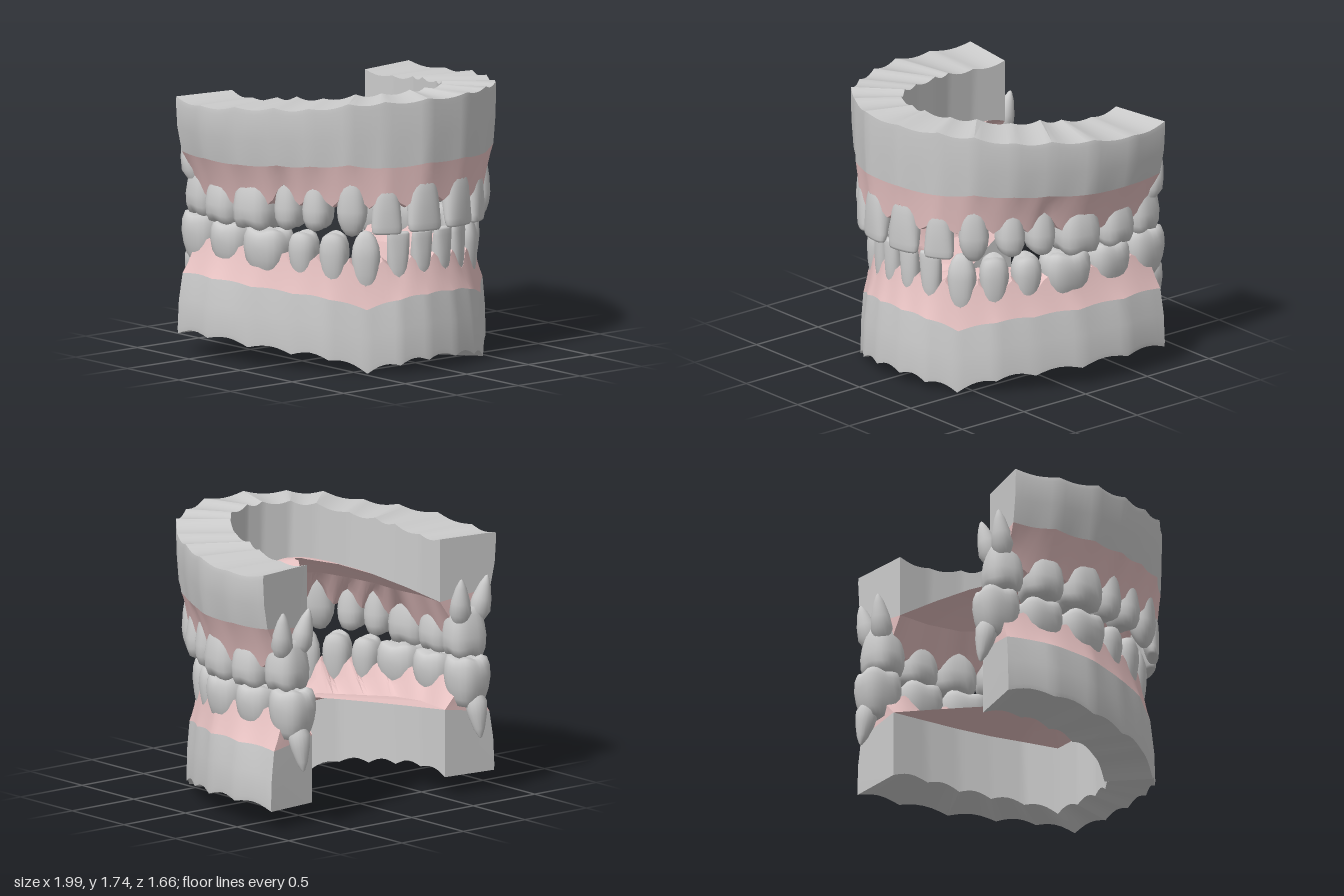
import * as THREE from 'three';
import { mergeVertices, toCreasedNormals } from 'three/addons/utils/BufferGeometryUtils.js';

const grey = new THREE.MeshStandardMaterial({ color: 0xcccccc });
const pink = new THREE.MeshStandardMaterial({ color: 0xe8c3c3 });
const pinkSheet = new THREE.MeshStandardMaterial({ color: 0xe8c3c3, side: THREE.DoubleSide });
const V = (x, y, z) => new THREE.Vector3(x, y, z);
const lerp = THREE.MathUtils.lerp;

// One row per tooth of the left half, front to back:
// tooth x, z, width, depth, biting edge y, gum margin y, base outer x, z, base inner x, z, base y, gum band y
const UPPER = [
  [0.13, 0.72, 0.225, 0.18, 0.89, 1.20, 0.16, 0.82, 0.06, 0.52, 1.74, 1.33],
  [0.345, 0.63, 0.19, 0.17, 0.88, 1.15, 0.41, 0.70, 0.24, 0.46, 1.73, 1.31],
  [0.50, 0.49, 0.19, 0.19, 0.86, 1.20, 0.60, 0.57, 0.35, 0.34, 1.72, 1.33],
  [0.61, 0.29, 0.185, 0.22, 0.88, 1.16, 0.76, 0.37, 0.46, 0.155, 1.68, 1.31],
  [0.68, 0.11, 0.185, 0.23, 0.87, 1.17, 0.87, 0.16, 0.51, -0.04, 1.67, 1.30],
  [0.75, -0.125, 0.285, 0.28, 0.85, 1.12, 0.97, -0.10, 0.55, -0.18, 1.65, 1.28],
  [0.76, -0.395, 0.26, 0.28, 0.85, 1.09, 1.00, -0.40, 0.57, -0.40, 1.62, 1.28],
  [0.72, -0.65, 0.24, 0.26, 0.86, 1.12, 0.95, -0.69, 0.54, -0.63, 1.63, 1.28],
];
const LOWER = [
  [0.08, 0.64, 0.14, 0.14, 0.88, 0.61, 0.11, 0.77, 0.06, 0.50, 0.07, 0.48],
  [0.23, 0.60, 0.145, 0.14, 0.88, 0.59, 0.30, 0.72, 0.19, 0.45, 0.05, 0.46],
  [0.40, 0.50, 0.18, 0.17, 0.89, 0.54, 0.47, 0.60, 0.28, 0.36, 0, 0.40],
  [0.53, 0.35, 0.185, 0.18, 0.88, 0.58, 0.64, 0.42, 0.42, 0.20, 0.08, 0.46],
  [0.62, 0.165, 0.185, 0.20, 0.87, 0.61, 0.76, 0.20, 0.49, 0, 0.10, 0.48],
  [0.70, -0.08, 0.31, 0.26, 0.87, 0.63, 0.88, -0.08, 0.54, -0.20, 0.12, 0.50],
  [0.72, -0.39, 0.29, 0.26, 0.87, 0.64, 0.94, -0.40, 0.56, -0.42, 0.14, 0.51],
  [0.71, -0.69, 0.28, 0.25, 0.89, 0.63, 0.91, -0.72, 0.54, -0.68, 0.12, 0.50],
];

// Skin over a row of cross-sections, with optional end caps
function loft(sections, flip, caps) {
  const n = sections[0].length, pts = sections.flat(), idx = [];
  const tri = (a, b, c) => idx.push(...(flip ? [a, c, b] : [a, b, c]));
  for (let i = 0; i < sections.length - 1; i++) for (let j = 0; j < n - 1; j++) {
    const a = i * n + j, b = a + n;
    tri(a, b, b + 1);
    tri(a, b + 1, a + 1);
  }
  if (caps) [0, sections.length - 1].forEach((s) => {
    const mid = V(0, 0, 0);
    sections[s].forEach((p) => mid.addScaledVector(p, 1 / n));
    const m = pts.push(mid) - 1;
    for (let j = 0; j < n; j++) {
      const a = s * n + j, b = s * n + (j + 1) % n;
      if (s === 0) tri(m, a, b); else tri(m, b, a);
    }
  });
  const g = new THREE.BufferGeometry().setFromPoints(pts);
  g.setIndex(idx);
  return toCreasedNormals(g, 0.6);
}

// Profiles (radius, height) from root to biting edge
const PROFILES = {
  incisor: [[0, 0], [0.5, 0.01], [0.72, 0.15], [0.86, 0.35], [0.95, 0.6], [1, 0.85], [0.98, 0.95], [0.88, 0.99], [0, 1]],
  canine: [[0, 0], [0.5, 0.01], [0.75, 0.15], [0.9, 0.35], [1, 0.6], [0.92, 0.75], [0.7, 0.88], [0.38, 0.97], [0, 1]],
  premolar: [[0, 0], [0.55, 0.01], [0.74, 0.15], [0.88, 0.35], [1, 0.6], [0.95, 0.78], [0.78, 0.91], [0.5, 0.96], [0, 0.88]],
  molar: [[0, 0], [0.6, 0.01], [0.78, 0.15], [0.92, 0.35], [1, 0.58], [0.97, 0.78], [0.84, 0.92], [0.6, 0.96], [0, 0.86]],
};

// Crown with its face towards +z: squared outline, thinned edge or raised cusps
function crownGeometry(kind, w, d, h) {
  const g = new THREE.LatheGeometry(PROFILES[kind].map(([r, y]) => new THREE.Vector2(r, y)), 24);
  const p = g.attributes.position;
  const e = kind === 'molar' ? 3 : 2.5;
  const [thin, lean] = { incisor: [0.6, 0.22], canine: [0.3, 0.1] }[kind] || [0, 0];
  for (let i = 0; i < p.count; i++) {
    const x = p.getX(i), z = p.getZ(i), t = p.getY(i);
    const r = Math.hypot(x, z), a = Math.atan2(x, z);
    const k = (Math.abs(Math.sin(a)) ** e + Math.abs(Math.cos(a)) ** e) ** (-1 / e);
    const wave = kind === 'molar' ? -Math.cos(4 * a) : kind === 'premolar' ? Math.cos(2 * a) : 0;
    const cusp = 0.14 * wave * Math.max(0, t - 0.6) * r;
    const edge = t ** 1.5;
    p.setXYZ(i, x * k * w / 2, (t + cusp) * h, z * k * d / 2 * (1 - thin * edge) + lean * d * edge);
  }
  g.deleteAttribute('normal');
  g.deleteAttribute('uv');
  const m = mergeVertices(g, 1e-5);
  m.computeVertexNormals();
  return m;
}

// Outward direction of the arch at each tooth
function normals(rows) {
  return rows.map((r, i) => {
    const a = rows[Math.max(0, i - 1)], b = rows[Math.min(rows.length - 1, i + 1)];
    return V(-(b[1] - a[1]), 0, b[0] - a[0]).normalize();
  });
}

function buildJaw(name, half, up, apex) {
  const jaw = new THREE.Group();
  jaw.name = name;
  const add = (part, geo, mat) => {
    const m = new THREE.Mesh(geo, mat);
    m.name = part;
    jaw.add(m);
    return m;
  };
  // Full arch from right end to left end
  const rows = [...half].reverse().map((r) => r.map((v, k) => ([0, 6, 8].includes(k) ? -v : v))).concat(half);
  const outs = normals(rows);

  // Base, gum and palate (or mouth floor) sections, scalloped between teeth
  const STEPS = 6, base = [], gum = [], sheet = [];
  const total = (rows.length - 1) * STEPS;
  for (let q = 0; q <= total; q++) {
    const i = Math.min(Math.floor(q / STEPS), rows.length - 2), t = q / STEPS - i;
    const [cx, cz, , d, edge, margin, ox, oz, ix, iz, by, band] = rows[i].map((v, k) => lerp(v, rows[i + 1][k], t));
    const out = outs[i].clone().lerp(outs[i + 1], t);
    const dip = Math.sin(Math.PI * t), papilla = 0.5 - 0.5 * Math.cos(2 * Math.PI * t);
    const baseY = by - up * dip * (up > 0 ? 0.02 : 0.03);
    const gumY = lerp(margin, edge, 0.42 * papilla);
    const reach = d / 2 * lerp(0.8, 0.62, papilla);
    const marginOut = V(cx, gumY, cz).addScaledVector(out, reach);
    const marginIn = V(cx, gumY, cz).addScaledVector(out, -reach);
    const outer = (f, y) => V(lerp(ox, marginOut.x, f), y, lerp(oz, marginOut.z, f));
    const bandOut = outer(0.35, band - up * 0.01 * dip);
    const bandIn = V(ix, band - up * 0.05, iz);
    base.push([bandOut, outer(0.1, lerp(band, baseY, 0.45)), outer(0.02, baseY - up * 0.03),
      outer(0.05, baseY), V(ix, baseY, iz), bandIn]);
    gum.push([bandIn, marginIn.clone().lerp(bandIn, 0.4), marginIn, V(cx, gumY - up * 0.015, cz), marginOut,
      outer(0.72, lerp(gumY, band, 0.5)), bandOut]);
    sheet.push([0, 0.25, 0.5, 0.75, 1].map((s) => {
      const f = s * 0.95;
      return V(lerp(ix, 0, f), lerp(bandIn.y, apex, Math.sin(f * Math.PI / 2)), lerp(iz, 0.1, f));
    }));
  }
  add('base', loft(base, up < 0, true), grey);
  add('gum', loft(gum, up < 0, true), pink);
  add(up > 0 ? 'palate' : 'mouthFloor', loft(sheet, up < 0, false), pinkSheet);

  // Teeth
  rows.forEach(([x, z, w, d, edge, margin], i) => {
    const n = i < 8 ? 7 - i : i - 8;
    const kind = n < 2 ? 'incisor' : n === 2 ? 'canine' : n < 5 ? 'premolar' : 'molar';
    const root = margin + up * 0.07;
    const geo = crownGeometry(kind, w, d, Math.abs(root - edge));
    if (up > 0) geo.rotateZ(Math.PI);
    const tooth = add(kind, geo, grey);
    tooth.position.set(x, root, z);
    tooth.rotation.y = Math.atan2(outs[i].x, outs[i].z);
  });

  // Roots showing behind the rearmost molars
  const last = half[7];
  for (const side of [-1, 1]) for (const dx of up > 0 ? [-0.07, 0.08] : [0.01]) {
    const path = new THREE.LatheGeometry(
      [[0.045, -0.04], [0.07, 0.02], [0.06, 0.1], [0.035, 0.19], [0.012, 0.24], [0, 0.25]]
        .map(([r, y]) => new THREE.Vector2(r, y)), 16);
    if (up < 0) path.rotateZ(Math.PI);
    const r = add('root', path, grey);
    r.position.set(side * (last[0] + dx), last[5] + up * 0.02, last[1] - (up > 0 ? 0.045 : 0.07));
    r.rotation.x = -up * 0.2;
    r.rotation.z = -side * Math.sign(dx) * (up > 0 ? 0.12 : 0);
  }
  return jaw;
}

export function createModel() {
  const model = new THREE.Group();
  model.name = 'dentalModel';
  model.add(buildJaw('upperJaw', UPPER, 1, 1.46), buildJaw('lowerJaw', LOWER, -1, 0.58));
  return model;
}
